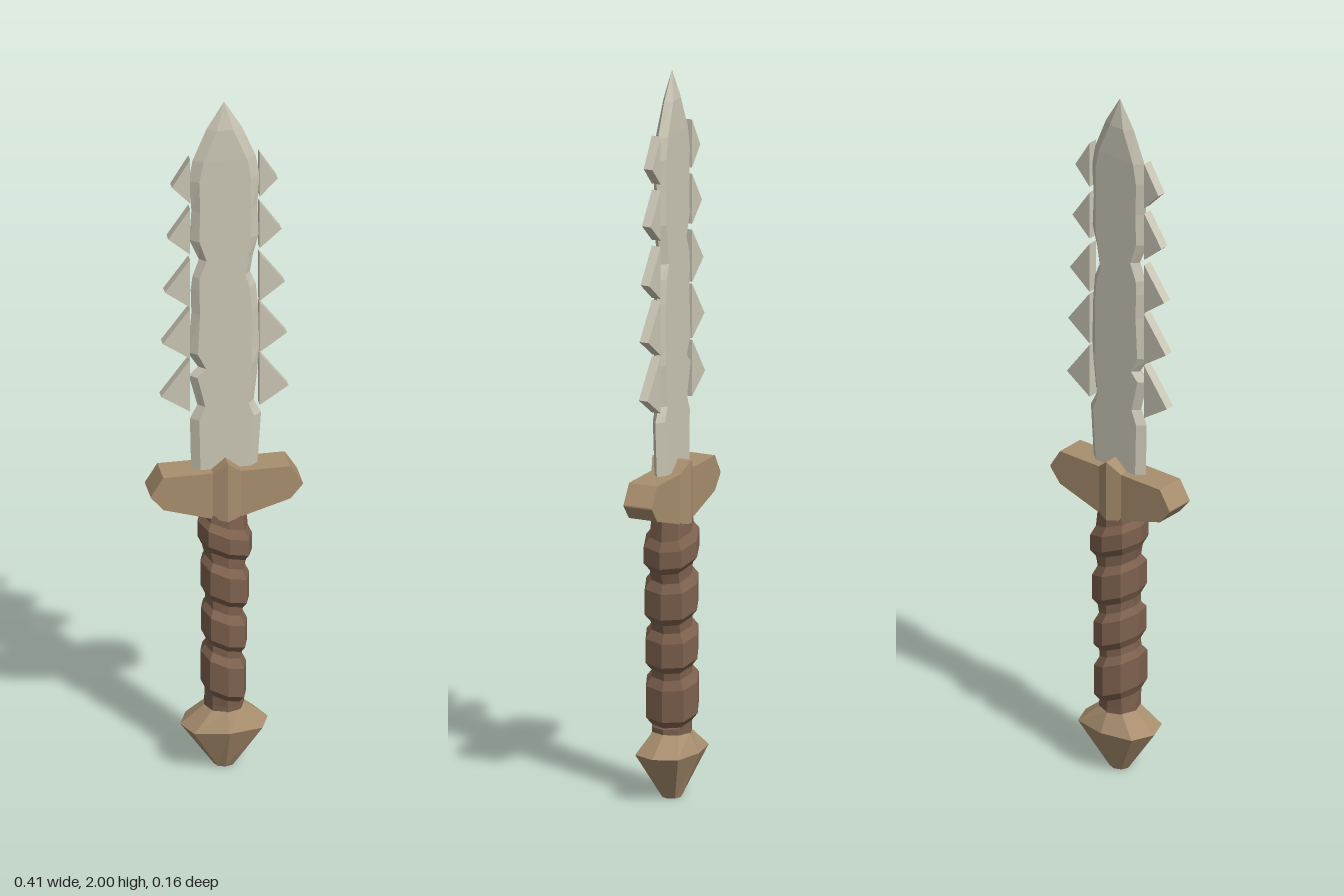
import * as THREE from 'three';

const mat = (name, color) => {
  const m = new THREE.MeshStandardMaterial({ color });
  m.name = name;
  return m;
};

// Skin a list of equal-length rings with flat facets and close both ends.
function loft(rings) {
  const out = [];
  const tri = (a, b, c) => out.push(...a, ...b, ...c);
  const n = rings[0].length;
  for (let r = 0; r < rings.length - 1; r++) {
    const a = rings[r], b = rings[r + 1];
    for (let i = 0; i < n; i++) {
      const j = (i + 1) % n;
      tri(a[i], b[i], a[j]);
      tri(a[j], b[i], b[j]);
    }
  }
  const first = rings[0], last = rings[rings.length - 1];
  for (let i = 1; i < n - 1; i++) {
    tri(first[0], first[i], first[i + 1]);
    tri(last[0], last[i + 1], last[i]);
  }
  const g = new THREE.BufferGeometry();
  g.setAttribute('position', new THREE.Float32BufferAttribute(out, 3));
  g.computeVertexNormals();
  return g;
}

// Eight-sided ring; k widens the diagonal corners, tilt slants it along x.
function octagon(y, rx, rz, k = 0.72, tilt = 0, cx = 0) {
  const c = [[1, 0], [k, k], [0, 1], [-k, k], [-1, 0], [-k, -k], [0, -1], [k, -k]];
  return c.map(([x, z]) => [cx + x * rx, y - tilt * x * rx, z * rz]);
}

export function createModel() {
  const group = new THREE.Group();
  const bone = mat('pale blade', 0xcac6b5);
  const tan = mat('tan fittings', 0xa88e6e);
  const brown = mat('brown grip', 0x7d614e);
  const add = (name, geometry, material) => {
    const mesh = new THREE.Mesh(geometry, material);
    mesh.name = name;
    group.add(mesh);
    return mesh;
  };

  // Blade: hexagonal section with chipped edges [y, left, right, bevel, half thickness]
  const sections = [
    [0.86, -0.088, 0.088, 0.022, 0.018], [1.05, -0.092, 0.1, 0.022, 0.018],
    [1.09, -0.072, 0.08, 0.018, 0.018], [1.18, -0.095, 0.09, 0.02, 0.018],
    [1.205, -0.07, 0.092, 0.018, 0.018], [1.25, -0.098, 0.095, 0.024, 0.018],
    [1.37, -0.088, 0.092, 0.02, 0.018], [1.44, -0.09, 0.086, 0.02, 0.018],
    [1.48, -0.085, 0.07, 0.016, 0.018], [1.53, -0.068, 0.078, 0.018, 0.018],
    [1.59, -0.094, 0.094, 0.024, 0.018], [1.68, -0.088, 0.09, 0.02, 0.018],
    [1.77, -0.096, 0.096, 0.026, 0.018], [1.83, -0.085, 0.085, 0.026, 0.018],
    [1.92, -0.048, 0.048, 0.026, 0.015], [2.0, 0, 0, 0, 0],
  ];
  add('blade', loft(sections.map(([y, l, r, b, t]) => [
    [r, y, 0], [r - b, y, t], [l + b, y, t], [l, y, 0], [l + b, y, -t], [r - b, y, -t],
  ])), bone);

  // Teeth: five triangular plates along each edge
  const teeth = [[1.76, 0.143], [1.605, 0.153], [1.445, 0.162], [1.29, 0.168], [1.13, 0.172]];
  for (const side of [-1, 1]) {
    teeth.forEach(([y, tip], i) => {
      const top = y + (0.08 + i * 0.006), bottom = y - 0.052;
      const shape = new THREE.Shape([
        new THREE.Vector2(side * 0.094, top),
        new THREE.Vector2(side * 0.094, bottom),
        new THREE.Vector2(side * tip, y),
      ]);
      const g = new THREE.ExtrudeGeometry(shape, { depth: 0.026, bevelEnabled: false });
      g.translate(0, 0, -0.013);
      add((side > 0 ? 'left' : 'right') + 'Tooth' + (i + 1), g, bone);
    });
  }

  // Guard: tapered crossbar with a raised central ridge [x, bottom, top, half depth]
  const half = [[0.205, 0.843, 0.847, 0.042], [0.172, 0.803, 0.9, 0.042], [0.038, 0.762, 0.9, 0.042]];
  const bar = [
    ...half.map(([x, ...r]) => [-x, ...r]),
    [0, 0.757, 0.932, 0.058],
    ...half.slice().reverse(),
  ];
  add('guard', loft(bar.map(([x, b, t, d]) => [[x, t, d], [x, t, -d], [x, b, -d], [x, b, d]])), tan);

  // Grip: four slanted bulges with narrow waists between them
  const bulges = [
    [0.215, 0.345, 0.062, -0.002], [0.365, 0.475, 0.062, 0],
    [0.5, 0.615, 0.066, 0.002], [0.645, 0.735, 0.074, 0.002],
  ];
  const grip = [octagon(0.16, 0.054, 0.054), octagon(0.195, 0.054, 0.055)];
  for (const [lo, hi, r, cx] of bulges) {
    grip.push(
      octagon(lo, r - 0.012, 0.057, 0.74, 0.35, cx),
      octagon(lo + 0.022, r, 0.075, 0.74, 0.35, cx),
      octagon(hi - 0.022, r, 0.075, 0.74, 0.35, cx),
      octagon(hi, r - 0.012, 0.057, 0.74, 0.35, cx),
    );
  }
  grip.push(octagon(0.79, 0.058, 0.054));
  add('grip', loft(grip), brown);

  // Pommel: faceted cone pointing down
  add('pommel', loft([
    octagon(0, 0.028, 0.026),
    octagon(0.128, 0.118, 0.081, 0.78),
    octagon(0.184, 0.05, 0.052),
  ]), tan);

  return group;
}
